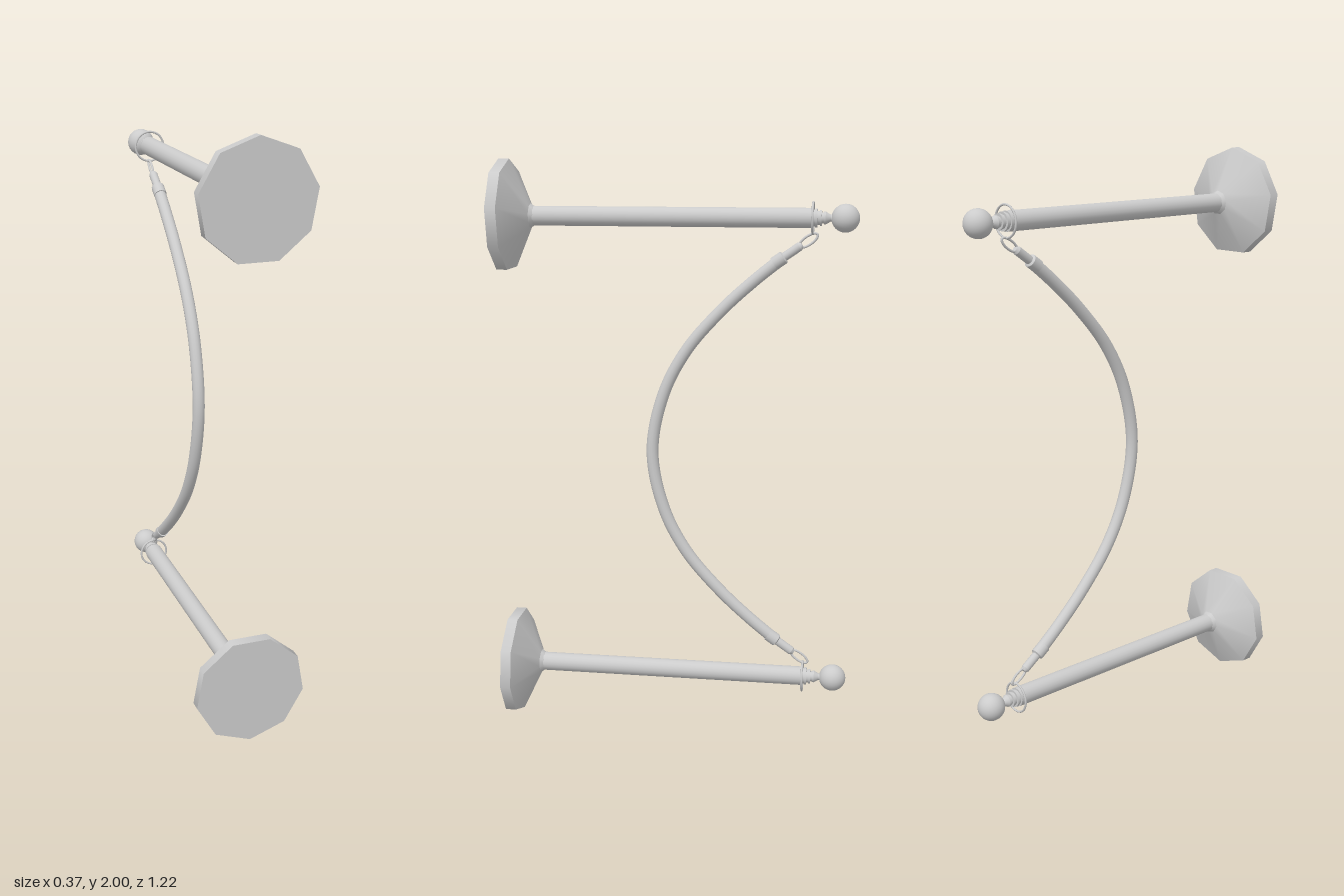
import * as THREE from 'three';

const material = new THREE.MeshStandardMaterial({ color: 0xcccccc, side: THREE.DoubleSide });

function add(parent, name, geometry) {
  const mesh = new THREE.Mesh(geometry, material);
  mesh.name = name;
  parent.add(mesh);
  return mesh;
}

// Turned part: each pair of [radius, height] points is one band, so edges between bands stay sharp
function turned(parent, name, profile, sides) {
  const part = new THREE.Group();
  part.name = name;
  parent.add(part);
  for (let i = 0; i < profile.length - 1; i++) {
    const [r0, h0] = profile[i], [r1, h1] = profile[i + 1];
    if (h1 - h0 < 1e-5) continue;
    const band = new THREE.CylinderGeometry(r1, r0, h1 - h0, sides);
    add(part, name + 'Band', band).position.y = (h0 + h1) / 2;
  }
  return part;
}

// Post built upright from its foot at the origin
function createPost() {
  const post = new THREE.Group();
  post.name = 'post';
  turned(post, 'base', [[0.19, 0], [0.19, 0.037], [0.042, 0.108], [0.033, 0.122]], 9);
  turned(post, 'pole', [[0.033, 0.1], [0.033, 1.066]], 20);
  // stepped collar under the ball
  turned(post, 'collar', [
    [0.027, 1.066], [0.027, 1.074], [0.031, 1.074], [0.031, 1.081], [0.023, 1.081],
    [0.023, 1.089], [0.026, 1.089], [0.026, 1.095], [0.018, 1.095], [0.018, 1.102],
    [0.021, 1.102], [0.021, 1.108], [0.011, 1.125], [0.016, 1.135],
  ], 20);
  add(post, 'ball', new THREE.SphereGeometry(0.047, 24, 16)).position.y = 1.173;
  // hanging ring around the pole top
  const ring = add(post, 'ring', new THREE.TorusGeometry(0.052, 0.0038, 8, 28));
  ring.rotation.x = Math.PI / 2;
  ring.position.y = 1.066;
  return post;
}

// Sleeve and oval link, laid along local y from the rope end outward
function createRopeEnd() {
  const end = new THREE.Group();
  end.name = 'ropeEnd';
  turned(end, 'sleeve', [[0.0225, -0.03], [0.0225, 0.008], [0.015, 0.012], [0.015, 0.072], [0.009, 0.082]], 16);
  const oval = [];
  for (let i = 0; i < 20; i++) {
    const a = (i / 20) * Math.PI * 2;
    oval.push(new THREE.Vector3(0, 0.107 + 0.036 * Math.sin(a), 0.014 * Math.cos(a)));
  }
  add(end, 'link', new THREE.TubeGeometry(new THREE.CatmullRomCurve3(oval, true), 40, 0.0042, 8, true));
  return end;
}

export function createModel() {
  const model = new THREE.Group();
  model.name = 'ropeBarrier';

  // Two matching halves, the lower turned half a circle about the middle
  for (const turn of [0, Math.PI]) {
    const half = new THREE.Group();
    half.name = turn ? 'lowerHalf' : 'upperHalf';
    half.position.y = 1;
    half.rotation.z = turn;

    const post = createPost();
    post.rotation.x = -Math.PI / 2;
    post.position.set(0, 0.81, 0.61);
    half.add(post);

    const end = createRopeEnd();
    end.position.set(0, 0.675, -0.355);
    end.rotation.x = -0.96;
    half.add(end);
    model.add(half);
  }

  // Sagging rope
  const sag = [[0.675, -0.355], [0.6, -0.263], [0.5, -0.155], [0.36, -0.035], [0.205, 0.045]];
  const points = [...sag, [0, 0.085], ...sag.map(([y, z]) => [-y, z]).reverse()]
    .map(([y, z]) => new THREE.Vector3(0, 1 + y, z));
  add(model, 'rope', new THREE.TubeGeometry(new THREE.CatmullRomCurve3(points), 64, 0.021, 14));

  return model;
}
